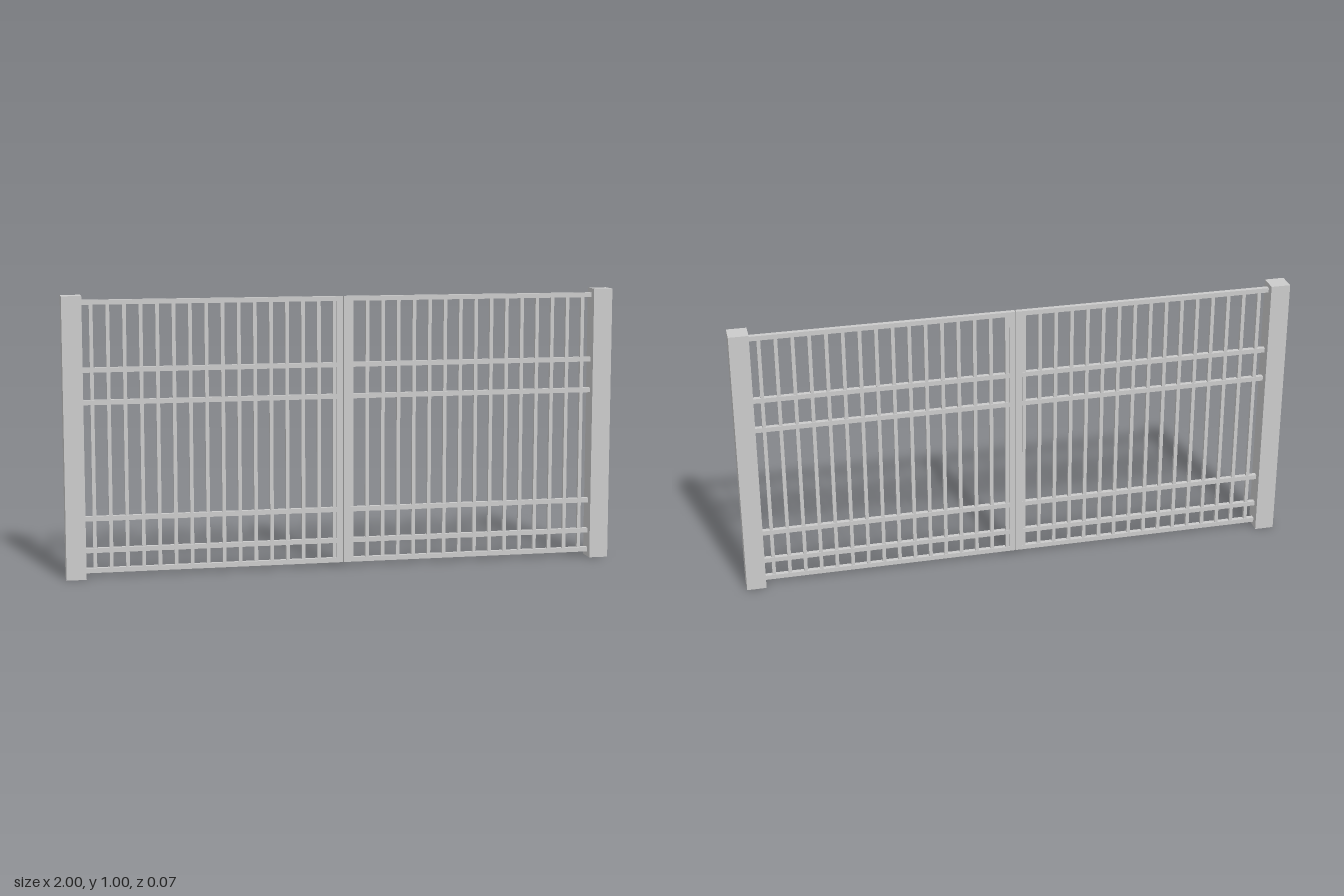
import * as THREE from 'three';

export function createModel() {
  const gate = new THREE.Group();
  gate.name = 'doubleGate';
  const material = new THREE.MeshStandardMaterial({ color: 0xcccccc, flatShading: true });

  const addBox = (parent, name, w, h, d, x, y) => {
    const mesh = new THREE.Mesh(new THREE.BoxGeometry(w, h, d), material);
    mesh.name = name;
    mesh.position.set(x, y, 0);
    parent.add(mesh);
  };

  const postWidth = 0.07;
  const postInner = 1 - postWidth;
  const railHeights = [0.026, 0.098, 0.212, 0.625, 0.739, 0.976];
  const railSize = 0.017;
  const bottom = railHeights[0] - railSize / 2;
  const top = railHeights[5] + railSize / 2;
  const middle = (bottom + top) / 2;

  for (const side of [-1, 1]) {
    const sideName = side > 0 ? 'left' : 'right';

    // Square gate post
    addBox(gate, sideName + 'Post', postWidth, 1, postWidth, side * (1 - postWidth / 2), 0.5);

    const leaf = new THREE.Group();
    leaf.name = sideName + 'Leaf';
    gate.add(leaf);

    // Meeting stile, with a hairline gap between the leaves
    addBox(leaf, 'meetingStile', 0.022, top - bottom, railSize, side * 0.0125, middle);

    // Horizontal rails from the stile to the post
    const railStart = 0.02;
    for (const y of railHeights) {
      addBox(leaf, 'rail', postInner - railStart, railSize, railSize,
        side * (postInner + railStart) / 2, y);
    }

    // Evenly spaced upright bars
    for (let i = 0; i < 16; i++) {
      addBox(leaf, 'bar', 0.013, top - bottom - railSize, 0.013, side * (0.031 + i * 0.0577), middle);
    }
  }
  return gate;
}
